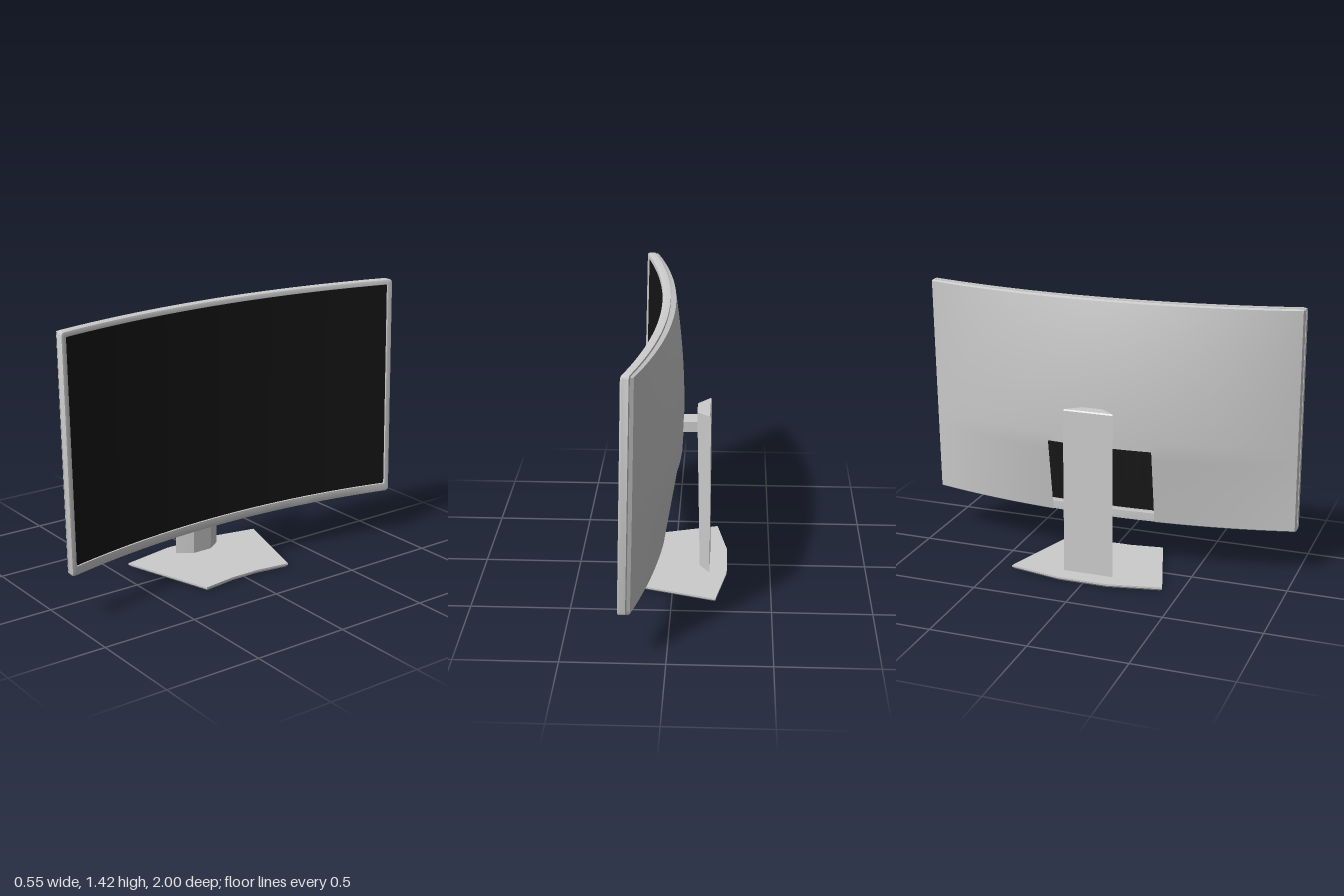
import * as THREE from 'three';
import { toCreasedNormals } from 'three/addons/utils/BufferGeometryUtils.js';

const Y0 = 0.25, Y1 = 1.42, R = 3.91; // display bottom, top and curve radius

// Point on the curved, slightly reclined display, a given depth behind its front
function at(z, y, depth) {
  const x = 0.097 - 0.032 * (y - Y0) / (Y1 - Y0) + R - Math.sqrt(R * R - z * z);
  return new THREE.Vector3(x - depth, y, z);
}

// Surface through rows of points; keep(i, j) can leave cells out
function skin(rows, { loop = false, closeRows = false, keep = () => true, crease = 0.5 } = {}) {
  const n = rows[0].length, m = rows.length, index = [];
  for (let i = 0; i < (closeRows ? m : m - 1); i++) {
    for (let j = 0; j < (loop ? n : n - 1); j++) {
      if (!keep(i, j)) continue;
      const i2 = (i + 1) % m, j2 = (j + 1) % n;
      const a = i * n + j, b = i * n + j2, c = i2 * n + j2, d = i2 * n + j;
      index.push(a, b, c, a, c, d);
    }
  }
  const g = new THREE.BufferGeometry().setFromPoints(rows.flat());
  g.setIndex(index);
  return toCreasedNormals(g, crease);
}

// Solid through stacked outlines, closed at both ends
function solid(sections) {
  const cap = (s) => {
    const c = s.reduce((sum, p) => sum.add(p), new THREE.Vector3()).divideScalar(s.length);
    return s.map(() => c.clone());
  };
  return skin([cap(sections[0]), ...sections, cap(sections[sections.length - 1])], { loop: true });
}

const spread = (a, b, n) => Array.from({ length: n + 1 }, (_, i) => a + (b - a) * i / n);

// Rounded rectangle bent onto the display curve
function ring(half, y0, y1, r, depth) {
  const pts = [], k = r * 0.29;
  for (const z of spread(half - r, r - half, 32)) pts.push(at(z, y0, depth));
  pts.push(at(k - half, y0 + k, depth), at(-half, y0 + r, depth));
  pts.push(at(-half, y1 - r, depth), at(k - half, y1 - k, depth));
  for (const z of spread(r - half, half - r, 32)) pts.push(at(z, y1, depth));
  pts.push(at(half - k, y1 - k, depth), at(half, y1 - r, depth));
  pts.push(at(half, y0 + r, depth), at(half - k, y0 + k, depth));
  return pts;
}

// Rear housing, bulging in the middle, with an opening at the bottom centre
function housingGeometry() {
  const halfCut = 0.28, cutTop = 0.66;
  const zs = [-0.998, -0.99, ...spread(-0.97, -halfCut, 14), ...spread(-halfCut, halfCut, 12).slice(1),
    ...spread(halfCut, 0.97, 14).slice(1), 0.99, 0.998];
  const ys = [Y0, Y0 + 0.008, ...spread(0.28, cutTop, 8), ...spread(cutTop, 1.39, 16).slice(1), Y1 - 0.008, Y1 - 0.002];
  const bulge = (y) => y < cutTop
    ? 0.064 * (y - Y0) / (cutTop - Y0)
    : 0.067 * (1 - ((y - 0.8) / 0.66) ** 2);
  const rows = ys.map((y, i) => zs.map((z, j) => {
    const endY = i === 0 || i === ys.length - 1, endZ = j === 0 || j === zs.length - 1;
    const rim = endY || endZ;
    const pull = endY && endZ ? 0.005 : 0; // softened corners
    const depth = rim ? 0.047 : 0.06 + bulge(y) * (1 - z * z);
    return at(z - Math.sign(z) * pull, y + (i === 0 ? pull : -pull), depth);
  }));
  const keep = (i, j) => {
    const y = (ys[i] + ys[i + 1]) / 2, z = (zs[j] + zs[j + 1]) / 2;
    return !(y < cutTop && Math.abs(z) < halfCut);
  };
  return skin(rows, { keep });
}

export function createModel() {
  const model = new THREE.Group();
  model.name = 'curvedMonitor';
  const grey = new THREE.MeshStandardMaterial({ color: 0xcccccc });
  const shell = new THREE.MeshStandardMaterial({ color: 0xcccccc, side: THREE.DoubleSide });
  const black = new THREE.MeshStandardMaterial({ color: 0x151515, side: THREE.DoubleSide });
  const add = (name, geometry, material = grey) => {
    const mesh = new THREE.Mesh(geometry, material);
    mesh.name = name;
    model.add(mesh);
    return mesh;
  };

  // Display: bezel frame, dark panel and rear housing
  add('bezel', skin([
    ring(0.97, 0.298, 1.392, 0.004, 0.048),
    ring(0.985, Y0 + 0.014, Y1 - 0.014, 0.012, 0.048),
    ring(0.987, Y0 + 0.012, Y1 - 0.012, 0.012, 0.042),
    ring(1, Y0, Y1, 0.016, 0.041),
    ring(1, Y0, Y1, 0.016, 0.01),
    ring(0.997, Y0 + 0.003, Y1 - 0.003, 0.015, 0.003),
    ring(0.99, Y0 + 0.01, Y1 - 0.01, 0.012, 0),
    ring(0.972, 0.296, 1.394, 0.004, 0),
    ring(0.97, 0.298, 1.392, 0.004, 0.004),
  ], { loop: true, closeRows: true }));
  add('screen', skin([0.296, 1.394].map((y) => spread(0.972, -0.972, 32).map((z) => at(z, y, 0.006)))), black);
  add('rearHousing', housingGeometry(), shell);

  // Arm joining the display to the column
  const arm = add('arm', new THREE.BoxGeometry(0.1, 0.055, 0.105));
  arm.position.set(-0.08, 0.803, 0);

  // Column: trapezoid in plan, growing deeper toward the top
  const column = (y, front, inset = 0) => [
    [front - inset, 0.055], [front - inset, -0.055], [-0.185 + inset, -0.132 + inset], [-0.185 + inset, 0.132 - inset],
  ].map(([x, z]) => new THREE.Vector3(x, y, z));
  add('column', solid([column(0.015, -0.132), column(0.885, -0.115), column(0.892, -0.115, 0.005)]));

  // Flat base plate with a chamfered underside
  const outline = [[0.245, 0.08], [0.245, -0.08], [0.27, -0.26], [-0.22, -0.41],
    [-0.275, -0.13], [-0.275, 0.13], [-0.22, 0.41], [0.27, 0.26]];
  const plate = (y, s) => outline.map(([x, z]) => new THREE.Vector3(x * s, y, z * s));
  add('base', solid([plate(0, 0.965), plate(0.011, 1), plate(0.02, 1)]));

  return model;
}
